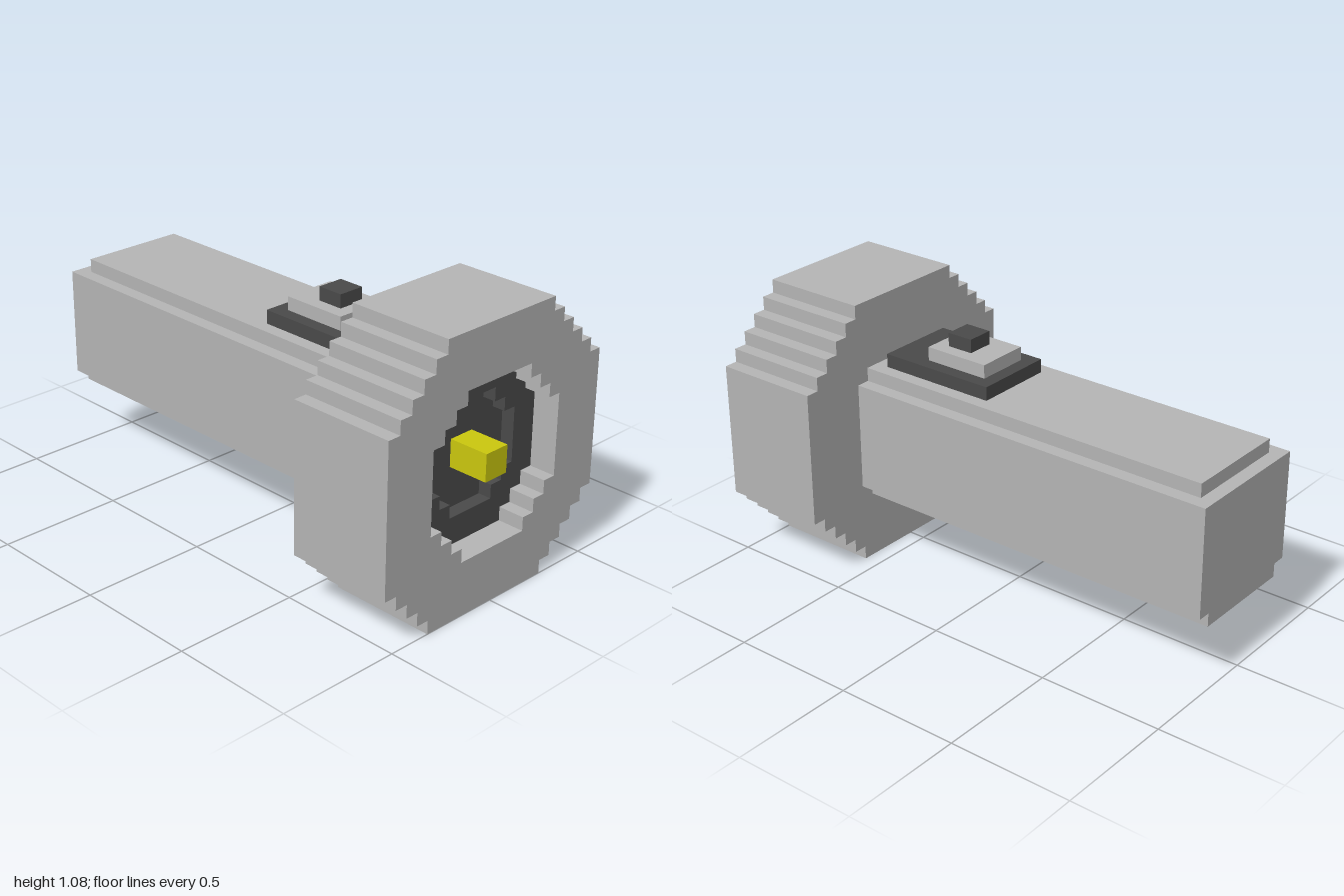
import * as THREE from 'three';

const U = 2 / 37; // one block

const grey = new THREE.MeshStandardMaterial({ color: 0xb5b5b5 });
grey.name = 'light grey casing';
const dark = new THREE.MeshStandardMaterial({ color: 0x4a4a4a });
dark.name = 'dark grey';
const yellow = new THREE.MeshStandardMaterial({ color: 0xcbc80e });
yellow.name = 'yellow bulb';

// Stepped outline: half-widths of one-block rows from the bottom row up
function steppedPoints(right, y0, left = right) {
  const pts = [];
  const add = (x, y) => pts.push(new THREE.Vector2(x * U, y * U));
  right.forEach((w, i) => { add(w, y0 + i); add(w, y0 + i + 1); });
  for (let i = left.length - 1; i >= 0; i--) {
    add(-left[i], y0 + i + 1);
    add(-left[i], y0 + i);
  }
  // drop points lying in the middle of a straight side
  return pts.filter((p, i) => {
    const a = pts[(i + pts.length - 1) % pts.length];
    const b = pts[(i + 1) % pts.length];
    return Math.abs((p.x - a.x) * (b.y - p.y) - (p.y - a.y) * (b.x - p.x)) > 1e-9;
  });
}

// Outline, with an optional hole, extruded between two depths
function slab(name, material, points, z0, z1, hole) {
  const shape = new THREE.Shape(points);
  if (hole) shape.holes.push(new THREE.Path(hole));
  const geometry = new THREE.ExtrudeGeometry(shape, { depth: (z1 - z0) * U, bevelEnabled: false });
  geometry.translate(0, 0, z0 * U);
  const mesh = new THREE.Mesh(geometry, material);
  mesh.name = name;
  return mesh;
}

// Block centred on x, given by half-width and its y and z limits
function block(name, material, halfWidth, y0, y1, z0, z1) {
  const mesh = new THREE.Mesh(
    new THREE.BoxGeometry(2 * halfWidth * U, (y1 - y0) * U, (z1 - z0) * U), material);
  mesh.position.set(0, (y0 + y1) / 2 * U, (z0 + z1) / 2 * U);
  mesh.name = name;
  return mesh;
}

export function createModel() {
  const model = new THREE.Group();
  model.name = 'flashlight';

  const middle = Array(10).fill(10);
  const headRight = [5, 6, 7, 8, 9, ...middle, 9, 8, 7, 6, 5];
  const headLeft = [6, 7, 8, 9, 10, ...middle, 9, 8, 7, 6, 5];
  const headOutline = () => steppedPoints(headRight, 0, headLeft);
  const cavity = () => steppedPoints([3, 4, 5, 6, 6, 6, 6, 6, 6, 5, 4, 3], 4);
  const recess = () => steppedPoints([2, 3, 4, 4, 4, 4, 3, 2], 6);

  // Head with a stepped reflector and the bulb
  const head = new THREE.Group();
  head.name = 'head';
  head.add(
    slab('headBack', grey, headOutline(), 10.5, 14.5),
    slab('headRim', grey, headOutline(), 14.5, 18.5, cavity()),
    slab('reflectorFloor', dark, cavity(), 14.5, 15.5),
    slab('reflectorRing', dark, cavity(), 15.5, 16.5, recess()),
    block('bulb', yellow, 1, 9, 11, 15.5, 18.5),
  );

  // Handle with narrower top and bottom layers
  const handle = new THREE.Group();
  handle.name = 'handle';
  handle.add(
    block('handleCore', grey, 5, 6, 14, -18.5, 10.5),
    block('handleTop', grey, 4, 14, 15, -17.5, 10.5),
    block('handleBottom', grey, 4, 5, 6, -18.5, 10.5),
  );

  // Stepped switch
  const powerSwitch = new THREE.Group();
  powerSwitch.name = 'switch';
  powerSwitch.add(
    block('switchPlate', dark, 3, 15, 16, 0.5, 9.5),
    block('switchSlider', grey, 2, 16, 17, 1.5, 6.5),
    block('switchButton', dark, 1, 17, 18, 3.5, 5.5),
  );

  model.add(head, handle, powerSwitch);
  return model;
}
